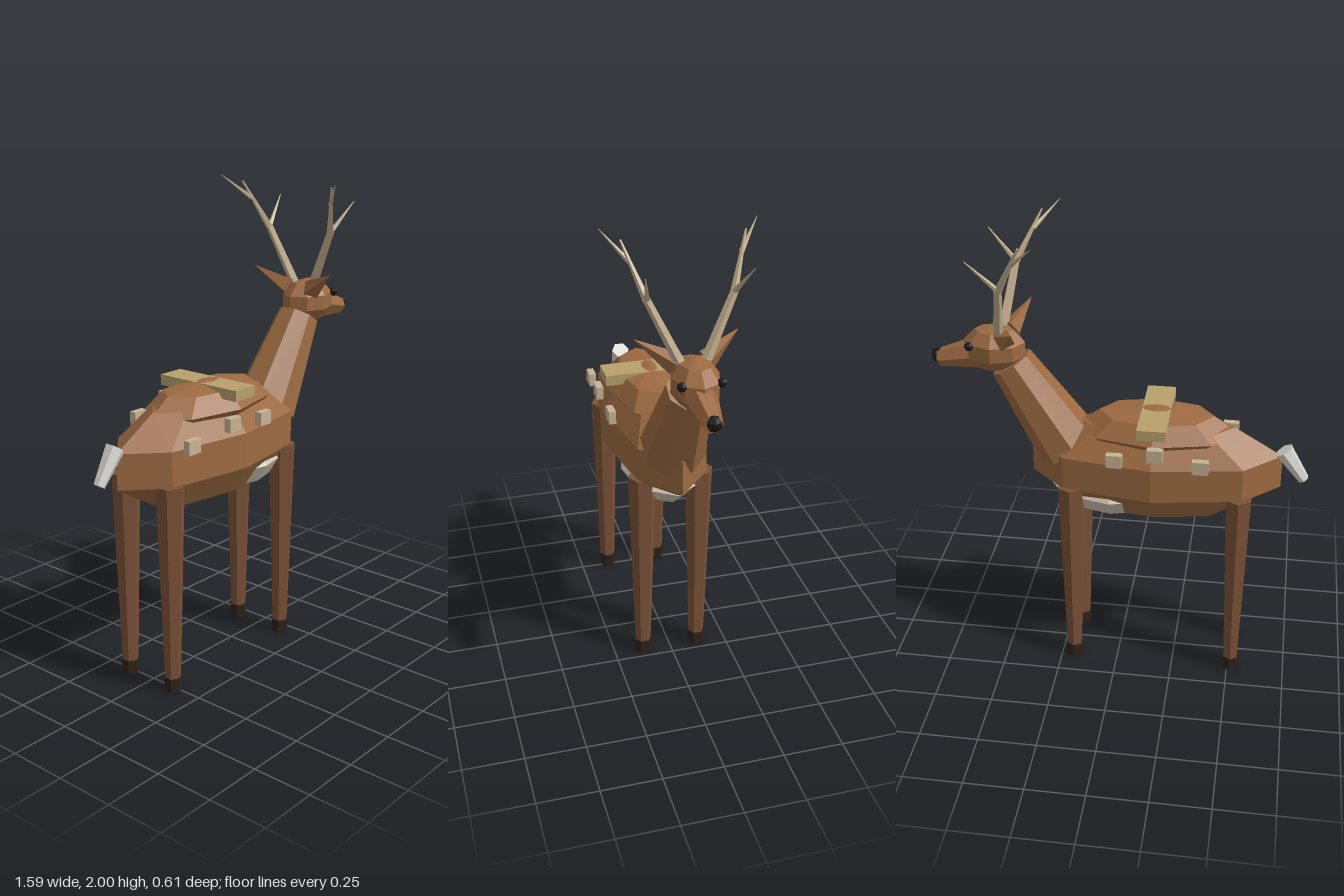
import * as THREE from 'three';

const mat = (name, color) => {
  const m = new THREE.MeshStandardMaterial({ color, flatShading: true });
  m.name = name;
  return m;
};

export function createModel() {
  const fur = mat('fur', 0x9c6a42);
  const legFur = mat('leg fur', 0x7a5238);
  const cream = mat('cream belly', 0xcfc4b0);
  const white = mat('tail white', 0xdad8d2);
  const antler = mat('antler', 0xc2ae8e);
  const strap = mat('strap', 0xb8a06c);
  const patch = mat('side tag', 0xc8b494);
  const hoof = mat('hoof', 0x2e211a);
  const black = mat('black', 0x1a1817);

  const model = new THREE.Group();
  model.name = 'deer';
  const V = (a) => new THREE.Vector3(...a);

  const add = (name, geometry, material, pos) => {
    const mesh = new THREE.Mesh(geometry, material);
    mesh.name = name;
    mesh.position.copy(V(pos));
    model.add(mesh);
    return mesh;
  };

  // Faceted ellipsoid
  const blob = (name, material, pos, radii, w = 8, h = 5) =>
    add(name, new THREE.SphereGeometry(1, w, h).scale(...radii), material, pos);

  // Tapered prism running from point a to point b
  const limb = (name, material, a, b, ra, rb, sides = 6, roll = 0) => {
    const from = V(a), to = V(b);
    const dir = to.clone().sub(from);
    const geometry = new THREE.CylinderGeometry(rb, ra, dir.length(), sides).rotateY(roll);
    const mesh = add(name, geometry, material, from.add(to).multiplyScalar(0.5).toArray());
    mesh.quaternion.setFromUnitVectors(new THREE.Vector3(0, 1, 0), dir.normalize());
    return mesh;
  };

  // Torso
  blob('body', fur, [-0.15, 0.96, 0], [0.558, 0.24, 0.218]);
  blob('back', fur, [-0.15, 1.13, 0], [0.34, 0.1, 0.18], 8, 4);
  blob('belly', cream, [0.03, 0.84, 0], [0.28, 0.11, 0.172], 8, 4);
  limb('tail', white, [-0.685, 1.063, 0], [-0.776, 0.93, 0], 0.04, 0.024);

  // Neck and head
  limb('neck', fur, [0.22, 1.02, 0], [0.458, 1.395, 0], 0.14, 0.092, 8, Math.PI / 8);
  blob('head', fur, [0.525, 1.455, 0], [0.135, 0.1, 0.1]);
  limb('muzzle', fur, [0.57, 1.437, 0], [0.765, 1.395, 0], 0.072, 0.037);
  blob('nose', black, [0.768, 1.405, 0], [0.028, 0.032, 0.032], 6, 5);

  // Band over the back
  add('strap', new THREE.BoxGeometry(0.12, 0.045, 0.41), strap, [-0.15, 1.2, -0.003]);

  // Tags on each flank
  const tags = [
    [-0.455, 1.05, 0.19], [-0.232, 1.092, 0.206], [-0.03, 1.072, 0.198],
    [-0.352, 1.07, -0.203], [-0.168, 1.117, -0.215], [0, 1.075, -0.205],
  ];
  tags.forEach((p) => add('sideTag', new THREE.BoxGeometry(0.067, 0.057, 0.03), patch, p));

  for (const s of [1, -1]) {
    // Legs and hooves
    for (const [x, end] of [[0.195, 'front'], [-0.513, 'hind']]) {
      limb(end + 'Leg', legFur, [x, 0.05, s * 0.122], [x, 0.89, s * 0.122], 0.034, 0.06);
      limb(end + 'Hoof', hoof, [x, 0, s * 0.122], [x, 0.06, s * 0.122], 0.037, 0.036);
    }

    // Eyes and ears
    blob('eye', black, [0.614, 1.487, s * 0.077], [0.019, 0.019, 0.019], 6, 5);
    limb('ear', fur, [0.47, 1.515, s * 0.06], [0.407, 1.602, s * 0.203], 0.045, 0.001, 4);

    // Antlers: beam, upper beam and two tines
    const branch = (name, a, b, ra, rb) =>
      limb(name, antler, [a[0], a[1], s * a[2]], [b[0], b[1], s * b[2]], ra, rb, 5);
    branch('antlerBeam', [0.497, 1.53, 0.05], [0.458, 1.78, 0.168], 0.022, 0.016);
    branch('antlerUpperBeam', [0.458, 1.77, 0.165], [0.357, 1.975, 0.238], 0.016, 0.004);
    branch('antlerFrontTine', [0.46, 1.775, 0.165], [0.577, 1.9, 0.2], 0.012, 0.002);
    branch('antlerRearTine', [0.39, 1.9, 0.212], [0.293, 2, 0.303], 0.011, 0.001);
  }

  return model;
}
